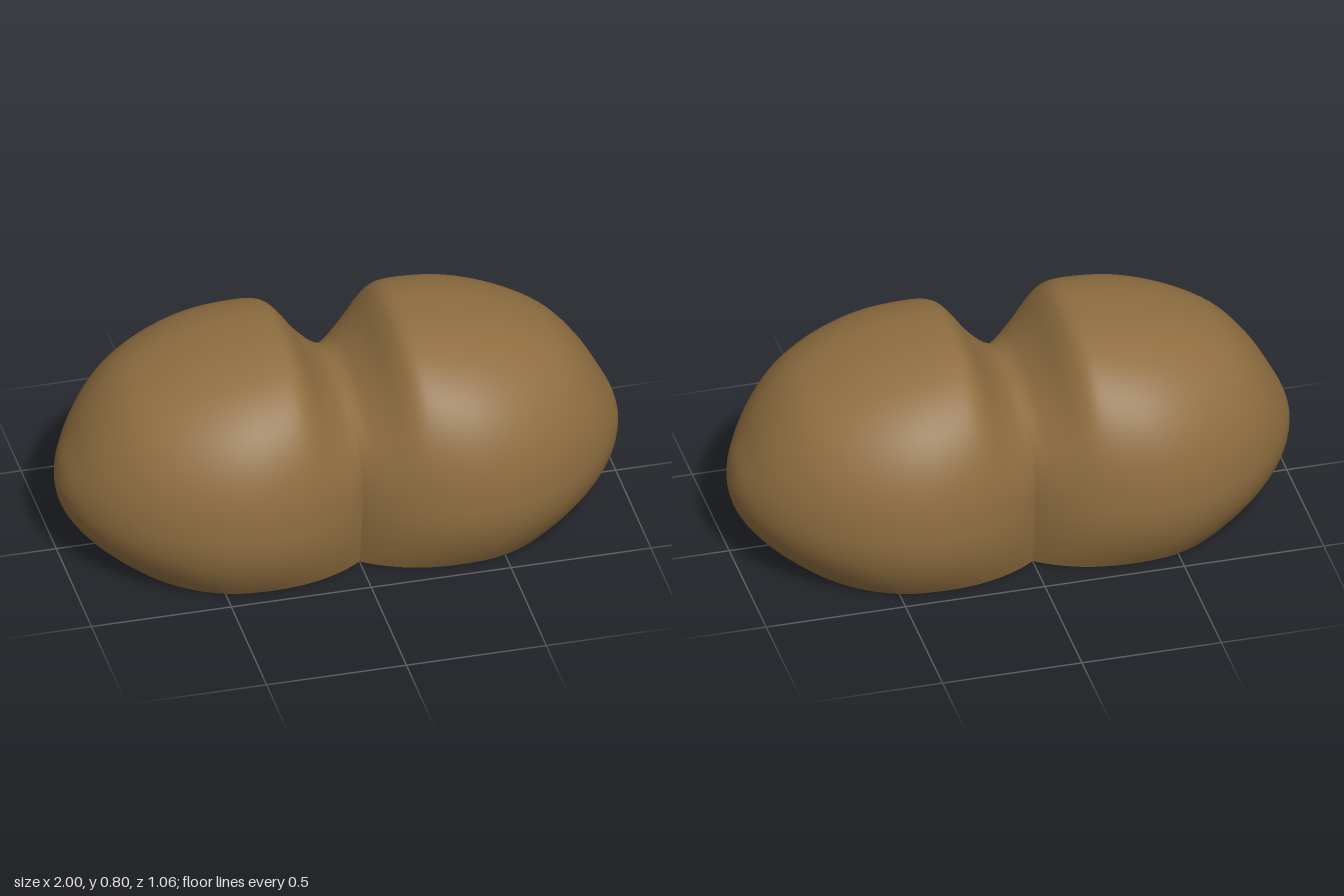
import * as THREE from 'three';
import { mergeVertices } from 'three/addons/utils/BufferGeometryUtils.js';

const RIM = 0.27;      // height of the widest outline
const CENTRE = 0.4;    // x of each lobe's centre
const COLS = 60, LOWER = 10, DOME = 48;

// Top ridge line of one lobe, from the valley to the outer tip (x, y)
const ridge = new THREE.SplineCurve([
  [0, 0.592], [0.04, 0.605], [0.1, 0.665], [0.16, 0.75], [0.2, 0.789], [0.25, 0.799],
  [0.35, 0.789], [0.5, 0.766], [0.65, 0.72], [0.78, 0.65], [0.88, 0.54], [0.95, 0.42],
  [0.985, 0.345], [1, RIM],
].map(([x, y]) => new THREE.Vector2(x, y)));

// Half width of the widest outline
function halfWidth(x) {
  if (x < CENTRE) return 0.53 * Math.sqrt(1 - ((CENTRE - x) / 0.565) ** 2);
  const u = Math.min(1, (x - CENTRE) / 0.6);
  return 0.53 * Math.pow(1 - Math.pow(u, 1.8), 1 / 1.8);
}

// Point on the tucked-in underside; s runs from the base (0) to the rim (1)
function lowerPoint(x, s, side) {
  const f = 1 - Math.pow(1 - s, 2.1);
  const inner = Math.max(0, 1 - x / CENTRE);
  const kz = THREE.MathUtils.lerp(0.82 + 0.07 * inner, 1, f);
  const px = x < CENTRE ? x : CENTRE + (x - CENTRE) * (0.7 + 0.3 * f);
  return [px, RIM * s, side * halfWidth(x) * kz];
}

// Point on the dome; a runs over the top from +z (0) to -z (PI)
function domePoint(x, top, a) {
  const e = 2 / THREE.MathUtils.lerp(2.35, 2.05, Math.max(0, (x - 0.4) / 0.6));
  const c = Math.cos(a);
  return [
    x,
    RIM + (Math.max(top, RIM) - RIM) * Math.pow(Math.max(0, Math.sin(a)), e),
    halfWidth(x) * Math.sign(c) * Math.pow(Math.abs(c), e),
  ];
}

// Skin a grid of points, mirrored in x when side is -1
function skin(rows, side, pointAt) {
  const pos = [], index = [];
  for (let i = 0; i <= COLS; i++) {
    const p = ridge.getPoint(i / COLS);
    for (let j = 0; j <= rows; j++) {
      const [x, y, z] = pointAt(Math.min(1, Math.max(0, p.x)), p.y, j);
      pos.push(x * side, y, z);
    }
  }
  for (let i = 0; i < COLS; i++) {
    for (let j = 0; j < rows; j++) {
      const a = i * (rows + 1) + j, b = a + rows + 1;
      if (side > 0) index.push(a, b, a + 1, b, b + 1, a + 1);
      else index.push(a, a + 1, b, b, a + 1, b + 1);
    }
  }
  let g = new THREE.BufferGeometry();
  g.setAttribute('position', new THREE.Float32BufferAttribute(pos, 3));
  g.setIndex(index);
  g = mergeVertices(g, 1e-5);
  g.computeVertexNormals();
  return g;
}

export function createModel() {
  const model = new THREE.Group();
  model.name = 'twinLobedBun';
  const crust = new THREE.MeshStandardMaterial({ color: 0x8f6e40 });
  crust.name = 'brown crust';

  for (const side of [1, -1]) {
    const lobe = new THREE.Group();
    lobe.name = side > 0 ? 'leftLobe' : 'rightLobe';

    // Rounded body: up one flank, over the top, down the other
    const body = new THREE.Mesh(skin(2 * LOWER + DOME, side, (x, top, j) => {
      if (j < LOWER) return lowerPoint(x, j / LOWER, 1);
      if (j > LOWER + DOME) return lowerPoint(x, (2 * LOWER + DOME - j) / LOWER, -1);
      return domePoint(x, top, Math.PI * (j - LOWER) / DOME);
    }), crust);
    body.name = 'body';

    // Flat underside
    const base = new THREE.Mesh(
      skin(1, side, (x, top, j) => lowerPoint(x, 0, j ? 1 : -1)), crust);
    base.name = 'flatBase';

    lobe.add(body, base);
    model.add(lobe);
  }
  return model;
}
